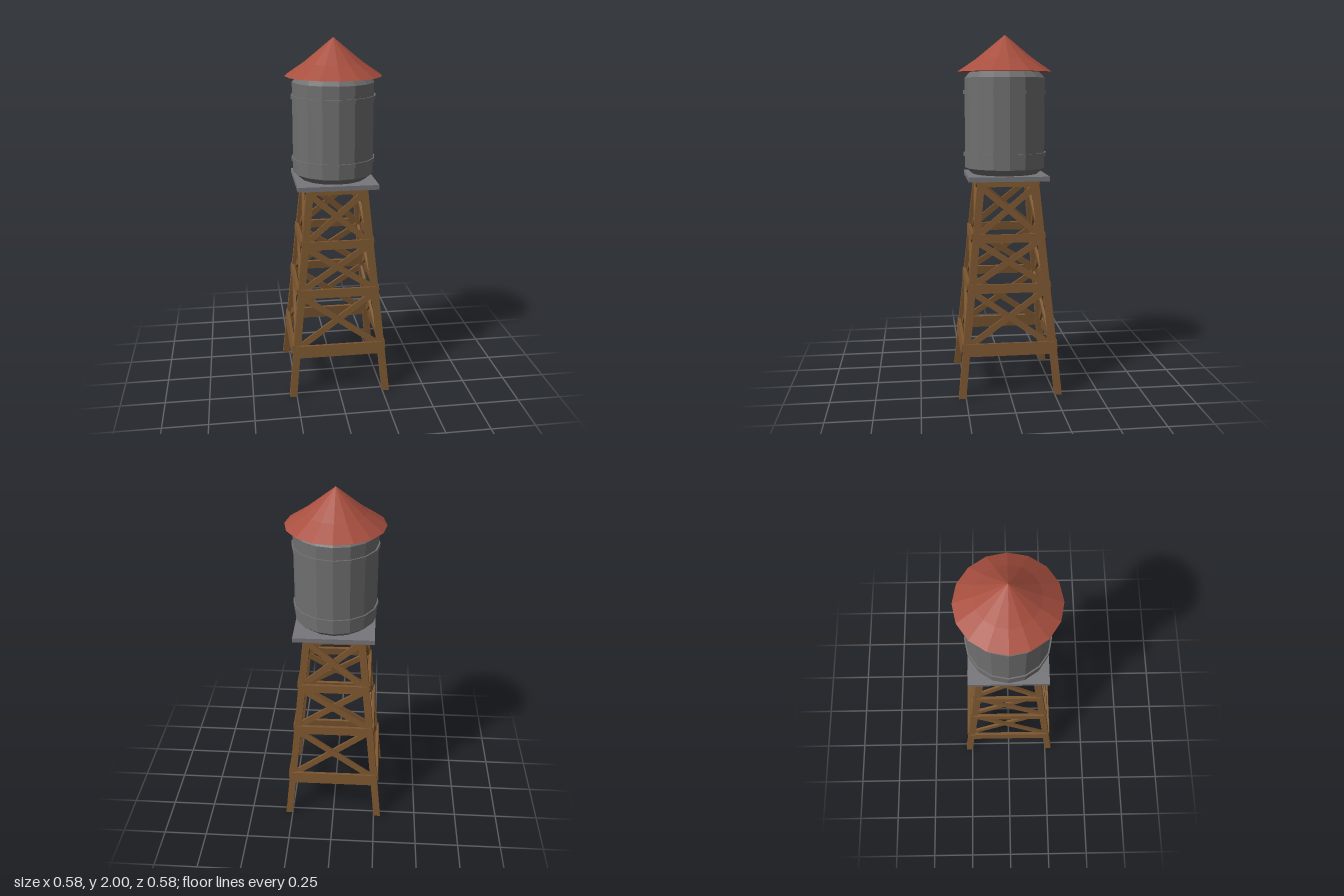
import * as THREE from 'three';

const material = (name, color, flatShading = true) =>
  new THREE.MeshStandardMaterial({ name, color, flatShading });

const SIDES = 16;
const LEG = 0.04;      // leg thickness
const LEG_TOP = 1.205; // underside of the platform
const SLOPE = 0.1;     // inward lean of the legs per unit of height
const outer = (y) => 0.29 - SLOPE * y; // outer face of the legs at height y

export function createModel() {
  const wood = material('brown wood', 0x7d5730);
  const steel = material('grey tank metal', 0x6f6f6f);
  const deck = material('grey platform', 0x76767b);
  const red = material('red roof', 0xa84f3f);

  const model = new THREE.Group();
  model.name = 'waterTower';

  const add = (parent, name, geometry, mat, x = 0, y = 0, z = 0) => {
    const mesh = new THREE.Mesh(geometry, mat);
    mesh.name = name;
    mesh.position.set(x, y, z);
    parent.add(mesh);
    return mesh;
  };

  // Leaning square legs: boxes sheared towards the centre
  for (const sx of [-1, 1]) for (const sz of [-1, 1]) {
    const geo = new THREE.BoxGeometry(LEG, LEG_TOP, LEG);
    geo.translate(0, LEG_TOP / 2, 0);
    const p = geo.attributes.position;
    for (let i = 0; i < p.count; i++) {
      const c = outer(p.getY(i)) - LEG / 2;
      p.setX(i, p.getX(i) + sx * c);
      p.setZ(i, p.getZ(i) + sz * c);
    }
    geo.computeVertexNormals();
    add(model, 'leg', geo, wood);
  }

  // Cross beam with clipped lower corners
  const beamGeometry = (half, height) => {
    const h = height / 2, c = Math.min(0.02, height * 0.4);
    const shape = new THREE.Shape([
      [-half + c, -h], [half - c, -h], [half, -h + c],
      [half, h], [-half, h], [-half, -h + c],
    ].map(([x, y]) => new THREE.Vector2(x, y)));
    const geo = new THREE.ExtrudeGeometry(shape, { depth: 0.018, bevelEnabled: false });
    return geo.translate(0, 0, -0.011);
  };

  const beams = [[0.27, 0.07], [0.61, 0.05], [0.887, 0.047], [1.187, 0.034]]; // height, depth
  const tilt = -Math.atan(SLOPE);

  // The four braced sides of the frame
  for (let k = 0; k < 4; k++) {
    const side = new THREE.Group();
    side.name = 'frameSide';
    side.rotation.y = k * Math.PI / 2;
    model.add(side);

    for (const [y, h] of beams) {
      add(side, 'crossBeam', beamGeometry(outer(y) - 0.014, h), wood, 0, y, outer(y)).rotation.x = tilt;
    }

    // Crossed diagonals in each bay
    for (let b = 0; b < 3; b++) {
      const y0 = beams[b][0] + 0.02, y1 = beams[b + 1][0] - 0.01;
      const ym = (y0 + y1) / 2;
      const bay = new THREE.Group();
      bay.name = 'crossBrace';
      bay.position.set(0, ym, outer(ym) - LEG / 2);
      bay.rotation.x = tilt;
      side.add(bay);
      const w = outer(y0) + outer(y1) - 0.05, h = y1 - y0;
      for (const s of [-1, 1]) {
        const brace = add(bay, 'diagonal', new THREE.BoxGeometry(Math.hypot(w, h), 0.034, 0.014), wood, 0, 0, s * 0.007);
        brace.rotation.z = -s * Math.atan2(h, w);
      }
    }
  }

  // Platform
  add(model, 'platform', new THREE.BoxGeometry(0.444, 0.026, 0.444), deck, 0, 1.217, 0);

  const lathe = (points) =>
    new THREE.LatheGeometry(points.map(([r, y]) => new THREE.Vector2(r, y)), SIDES);

  // Tank with bevelled ends
  add(model, 'tank', lathe([
    [0, 1.23], [0.185, 1.23], [0.227, 1.265], [0.227, 1.765], [0.19, 1.802], [0, 1.802],
  ]), steel);

  // Hoops around the tank
  for (const y of [1.34, 1.685]) {
    add(model, 'hoop', lathe([
      [0.22, y - 0.011], [0.235, y - 0.011], [0.235, y + 0.011], [0.22, y + 0.011],
    ]), steel);
  }

  // Flared roof
  add(model, 'roof', lathe([
    [0, 1.797], [0.268, 1.797], [0.165, 1.866], [0.12, 1.902], [0, 2],
  ]), red);

  return model;
}
